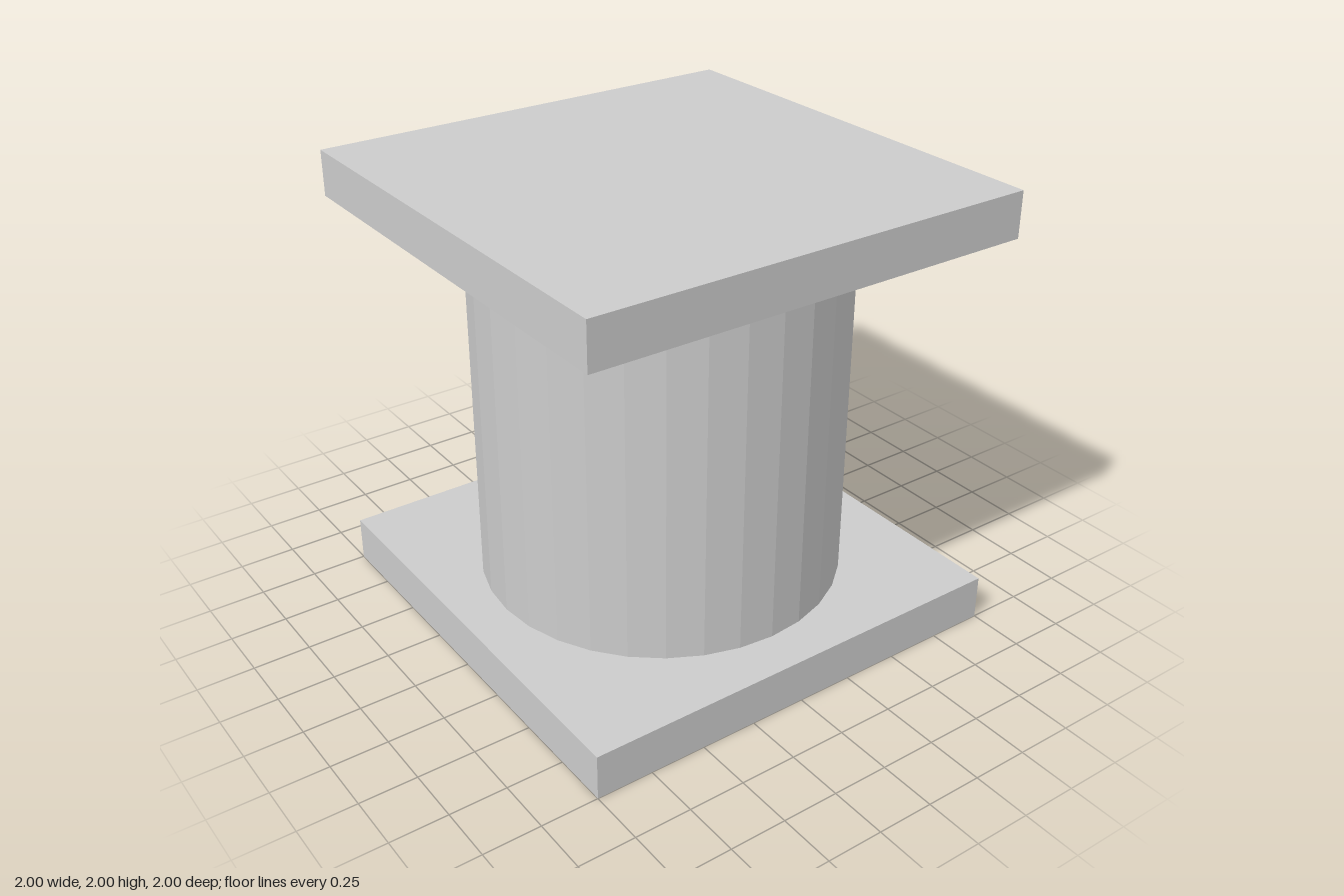
import * as THREE from 'three';

export function createModel() {
  const group = new THREE.Group();
  const material = new THREE.MeshStandardMaterial({ color: 0xcccccc, flatShading: true });

  const add = (name, geometry, y) => {
    const mesh = new THREE.Mesh(geometry, material);
    mesh.name = name;
    mesh.position.y = y;
    group.add(mesh);
  };

  // Square slabs at the foot and the head
  const slab = new THREE.BoxGeometry(2, 0.2, 2);
  add('basePlate', slab, 0.1);
  add('topPlate', slab, 1.9);

  // Faceted round shaft between the slabs
  add('shaft', new THREE.CylinderGeometry(0.8, 0.8, 1.6, 32), 1);

  return group;
}
